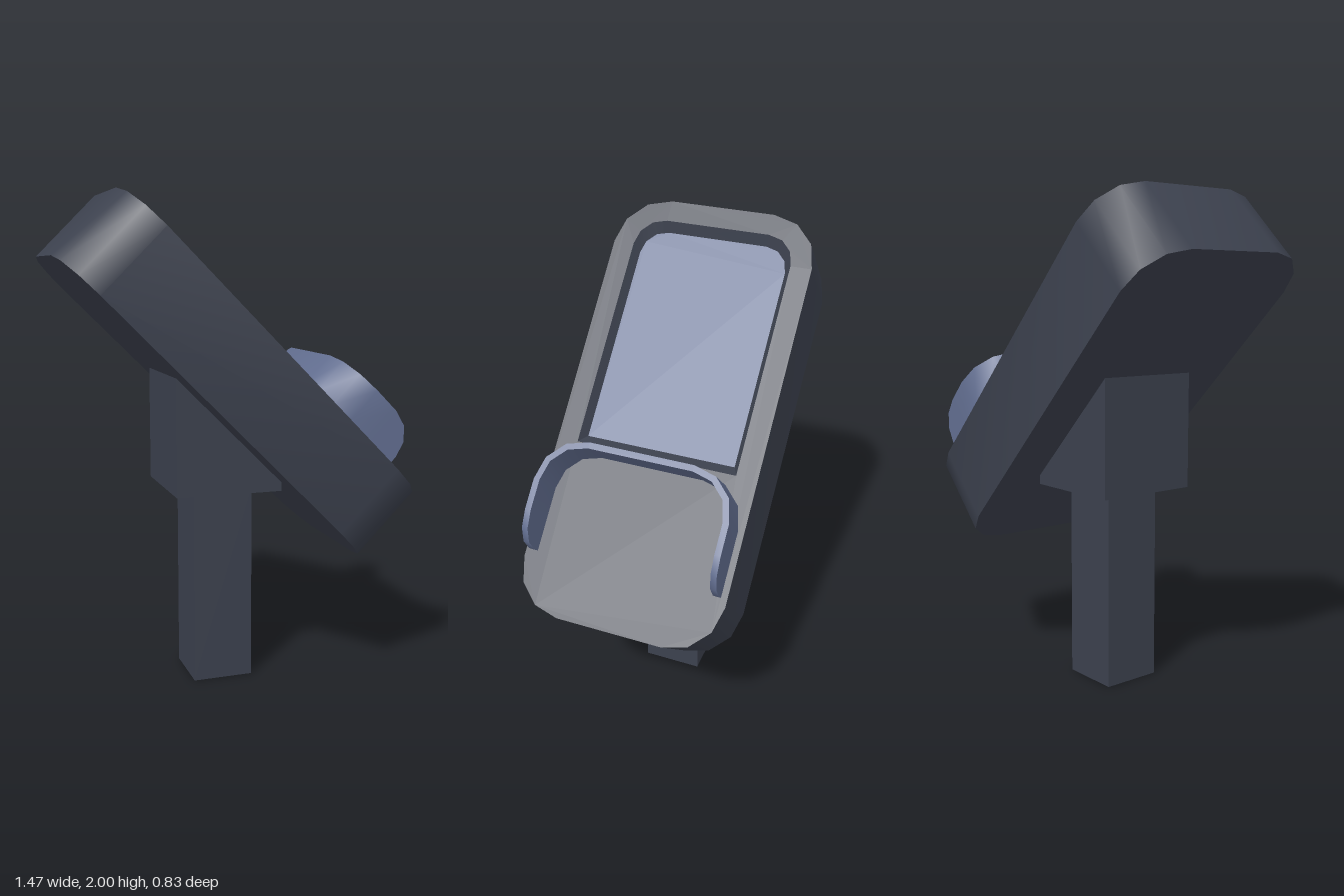
import * as THREE from 'three';
import { toCreasedNormals } from 'three/addons/utils/BufferGeometryUtils.js';

const V2 = (x, y) => new THREE.Vector2(x, y);

// Points of a rounded corner, three segments per quarter turn
function corner(cx, cy, r, startDeg) {
  if (r === 0) return [V2(cx, cy)];
  return [0, 30, 60, 90].map((d) => {
    const a = THREE.MathUtils.degToRad(startDeg + d);
    return V2(cx + r * Math.cos(a), cy + r * Math.sin(a));
  });
}

// Counter-clockwise outline, with separate radii for the low (+x) and high (-x) ends
function outline(x0, x1, w, rLow, rHigh) {
  return [
    ...corner(x1 - rLow, -w + rLow, rLow, -90),
    ...corner(x1 - rLow, w - rLow, rLow, 0),
    ...corner(x0 + rHigh, w - rHigh, rHigh, 90),
    ...corner(x0 + rHigh, -w + rHigh, rHigh, 180),
  ];
}

// Plan outline placed at a height (a number or one per point)
const row = (pts, h) => pts.map((p, i) => [p.x, Array.isArray(h) ? h[i] : h, -p.y]);

// Surface through successive rows of points
function loft(rows, closed) {
  const pos = [];
  for (let r = 0; r < rows.length - 1; r++) {
    const a = rows[r], b = rows[r + 1], n = a.length;
    for (let i = 0; i < (closed ? n : n - 1); i++) {
      const j = (i + 1) % n;
      pos.push(...a[i], ...a[j], ...b[j], ...a[i], ...b[j], ...b[i]);
    }
  }
  const g = new THREE.BufferGeometry();
  g.setAttribute('position', new THREE.Float32BufferAttribute(pos, 3));
  g.computeVertexNormals();
  return toCreasedNormals(g, 0.7);
}

// Flat plate at a height, facing up or down
function plate(pts, h, hole, down) {
  const s = new THREE.Shape(pts);
  if (hole) s.holes.push(new THREE.Path(hole));
  return new THREE.ShapeGeometry(s).rotateX(down ? Math.PI / 2 : -Math.PI / 2).translate(0, h, 0);
}

export function createModel() {
  const dark = new THREE.MeshStandardMaterial({ color: 0x3c414e, side: THREE.DoubleSide });
  dark.name = 'dark slate';
  const blue = new THREE.MeshStandardMaterial({ color: 0x626e90, side: THREE.DoubleSide });
  blue.name = 'slate blue';

  const model = new THREE.Group();
  model.name = 'console';
  const add = (parent, name, geo, mat) => {
    const m = new THREE.Mesh(geo, mat);
    m.name = name;
    parent.add(m);
  };

  // Square post, open at its foot
  const post = new THREE.CylinderGeometry(0.125 * Math.SQRT2, 0.125 * Math.SQRT2, 0.815, 4, 1, true)
    .rotateY(Math.PI / 4).toNonIndexed();
  post.computeVertexNormals();
  add(model, 'post', post.translate(-0.05, 0.4075, 0), dark);

  // Wedge bracket under the tilted panel
  const wedge = new THREE.Shape([V2(-0.27, 0.815), V2(0.17, 0.815), V2(0.17, 0.86), V2(-0.27, 1.3)]);
  add(model, 'bracket',
    new THREE.ExtrudeGeometry(wedge, { depth: 0.44, bevelEnabled: false }).translate(0, 0, -0.22), dark);

  // Panel, tilted 45 degrees, with a sunken screen
  const panel = new THREE.Group();
  panel.name = 'panel';
  panel.position.y = 1.265;
  panel.rotation.z = -Math.PI / 4;
  model.add(panel);

  const top = 0.173, floor = 0.138;
  const edge = outline(-0.867, 0.867, 0.415, 0.2, 0.2);
  const rim = outline(-0.782, 0.18, 0.33, 0, 0.115);
  const screen = outline(-0.747, 0.144, 0.307, 0, 0.1);
  add(panel, 'panelSides', loft([row(edge, -top), row(edge, top)], true), dark);
  add(panel, 'panelBack', plate(edge, -top, null, true), dark);
  add(panel, 'panelFace', plate(edge, top, rim), dark);
  add(panel, 'screenRecess', loft([row(rim, top), row(screen, floor)], true), dark);
  add(panel, 'screen', plate(screen, floor), blue);

  // U-shaped hood wall whose legs round down to the panel
  const legX = [0.635, 0.635, 0.617, 0.57, 0.5];
  const legH = [top, 0.205, 0.27, 0.318, 0.336];
  const hoodPath = (t) => {
    const w = 0.39 - t, r = 0.18 - t, cx = 0.38;
    return [
      ...legX.map((x) => V2(x, w)),
      ...corner(cx, w - r, r, 90),
      ...corner(cx, -w + r, r, 180),
      ...[...legX].reverse().map((x) => V2(x, -w)),
    ];
  };
  const heights = [...legH, ...Array(8).fill(0.336), ...[...legH].reverse()];
  const outer = hoodPath(0), inner = hoodPath(0.024);
  add(panel, 'hood',
    loft([row(outer, top), row(outer, heights), row(inner, heights), row(inner, top)], false), blue);

  return model;
}
